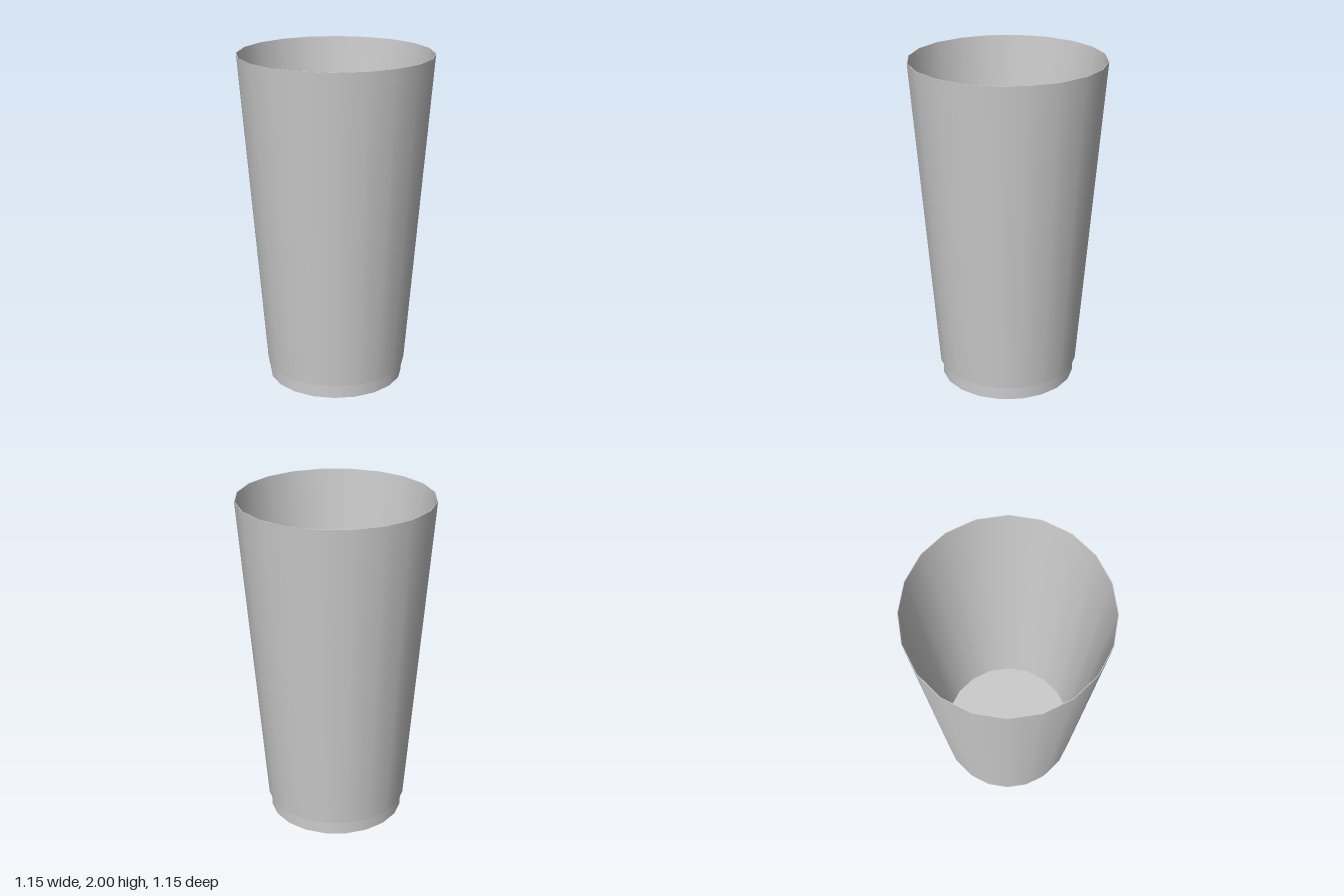
import * as THREE from 'three';

const SIDES = 20;
const material = new THREE.MeshStandardMaterial({ color: 0xcccccc });

// One straight profile step turned about y; separate steps keep their shared edge sharp
function ring(name, r0, y0, r1, y1) {
  const profile = [new THREE.Vector2(r0, y0), new THREE.Vector2(r1, y1)];
  const mesh = new THREE.Mesh(new THREE.LatheGeometry(profile, SIDES), material);
  mesh.name = name;
  return mesh;
}

// A flat 20-sided disc facing up or down
function disc(name, radius, y, facing) {
  const mesh = new THREE.Mesh(new THREE.CircleGeometry(radius, SIDES), material);
  mesh.name = name;
  mesh.rotation.x = -facing * Math.PI / 2;
  mesh.position.y = y;
  return mesh;
}

export function createModel() {
  const cup = new THREE.Group();
  cup.name = 'cup';

  const footRadius = 0.41, footHeight = 0.085;
  const baseRadius = 0.425, rimRadius = 0.577, innerRimRadius = 0.573;

  // Outside: underside, recessed foot, ledge and tapered wall
  cup.add(disc('underside', footRadius, 0, -1));
  cup.add(ring('foot', footRadius, 0, footRadius, footHeight));
  cup.add(ring('footLedge', footRadius, footHeight, baseRadius, footHeight));
  cup.add(ring('outerWall', baseRadius, footHeight, rimRadius, 2));

  // Inside: thin rim, inner wall and floor
  cup.add(ring('rim', rimRadius, 2, innerRimRadius, 2));
  cup.add(ring('innerWall', innerRimRadius, 2, 0.412, footHeight + 0.005));
  cup.add(disc('floor', 0.412, footHeight + 0.005, 1));

  return cup;
}
